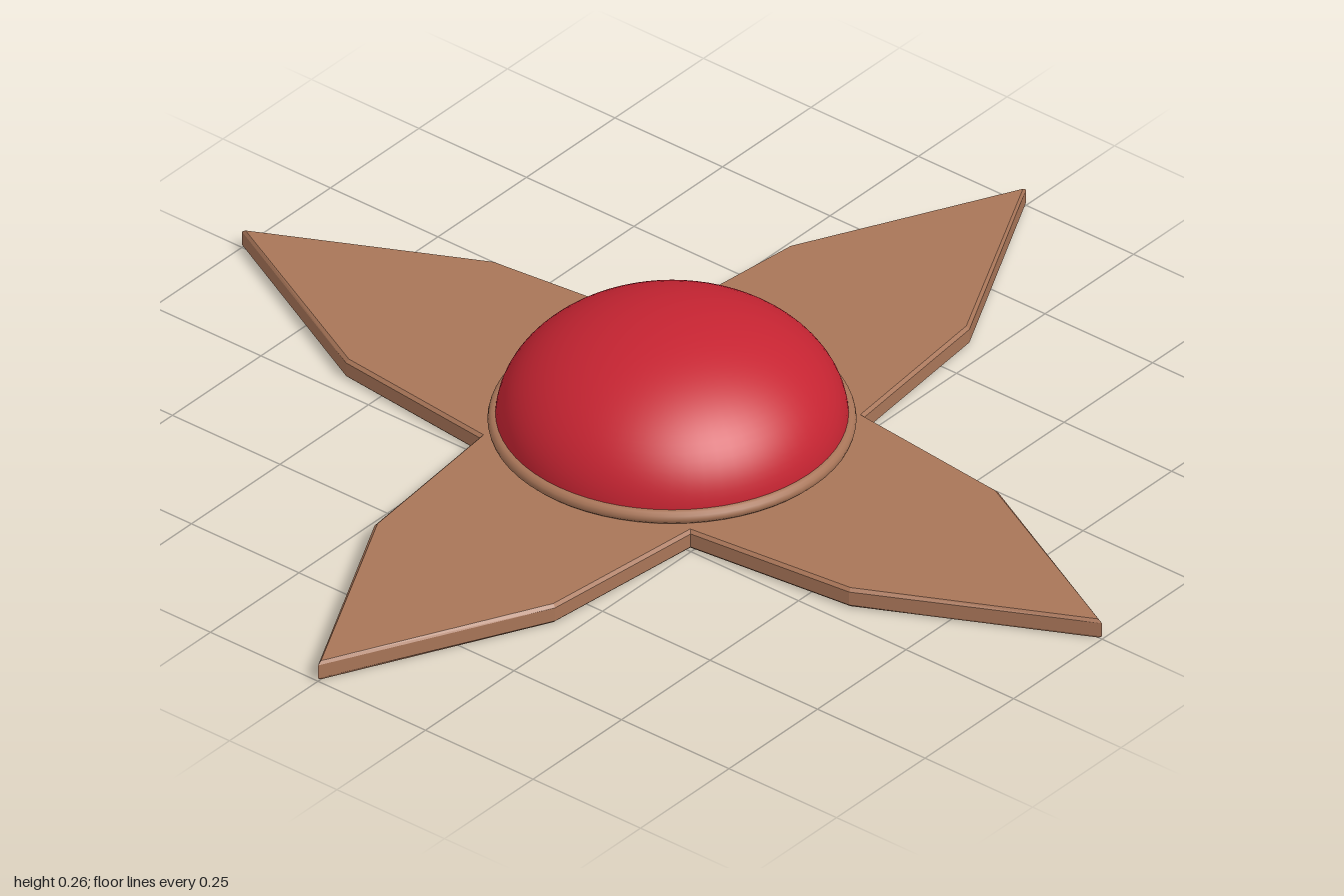
import * as THREE from 'three';

export function createModel() {
  const model = new THREE.Group();
  model.name = 'flower';

  const brown = new THREE.MeshStandardMaterial({ color: 0xa87558 });
  brown.name = 'petal brown';
  const red = new THREE.MeshStandardMaterial({ color: 0xc62432, side: THREE.DoubleSide });
  red.name = 'dome red';

  // Petal outline, pointing along +x, with a small chamfer kept inside the outline
  const outline = [[0.22, -0.248], [0.585, -0.21], [1, 0], [0.585, 0.21], [0.22, 0.248]];
  const shape = new THREE.Shape(outline.map(([x, y]) => new THREE.Vector2(x, y)));
  const bevel = 0.006;
  const petalGeometry = new THREE.ExtrudeGeometry(shape, {
    depth: 0.04 - 2 * bevel,
    bevelEnabled: true,
    bevelThickness: bevel,
    bevelSize: bevel,
    bevelOffset: -bevel,
    bevelSegments: 1,
  });
  petalGeometry.rotateX(-Math.PI / 2);
  petalGeometry.translate(0, bevel, 0);

  // Four petals leave a square opening in the middle
  const names = ['leftPetal', 'backPetal', 'rightPetal', 'frontPetal'];
  names.forEach((name, i) => {
    const petal = new THREE.Mesh(petalGeometry, brown);
    petal.name = name;
    petal.rotation.y = (i * Math.PI) / 2;
    model.add(petal);
  });

  // Rim around the foot of the dome
  const rimGeometry = new THREE.TorusGeometry(0.318, 0.0135, 12, 64);
  rimGeometry.rotateX(Math.PI / 2);
  const rim = new THREE.Mesh(rimGeometry, brown);
  rim.name = 'rim';
  rim.position.y = 0.054;
  model.add(rim);

  // Flattened dome, open underneath
  const domeGeometry = new THREE.SphereGeometry(0.318, 64, 24, 0, Math.PI * 2, 0, Math.PI / 2);
  domeGeometry.scale(1, 0.211 / 0.318, 1);
  const dome = new THREE.Mesh(domeGeometry, red);
  dome.name = 'dome';
  dome.position.y = 0.054;
  model.add(dome);

  return model;
}
